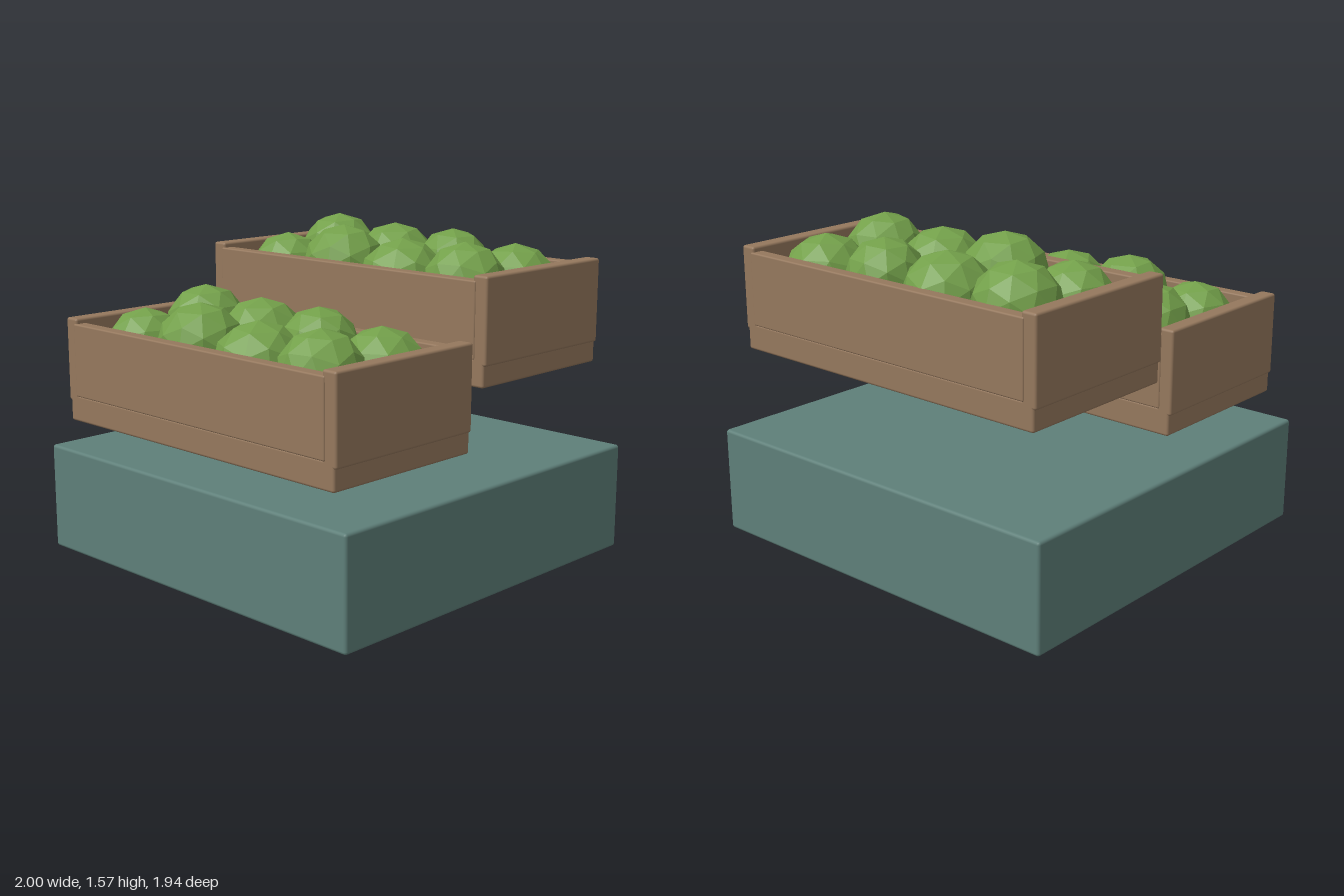
import * as THREE from 'three';
import { RoundedBoxGeometry } from 'three/addons/geometries/RoundedBoxGeometry.js';

const teal = new THREE.MeshStandardMaterial({ color: 0x5e7f79 });
teal.name = 'teal';
const wood = new THREE.MeshStandardMaterial({ color: 0x95785d });
wood.name = 'wood';
const green = new THREE.MeshStandardMaterial({ color: 0x73a04a });
green.name = 'leaf green';

// Softly bevelled block spanning two corners
function block(name, [x0, y0, z0], [x1, y1, z1], material, bevel = 0.012) {
  const mesh = new THREE.Mesh(new RoundedBoxGeometry(x1 - x0, y1 - y0, z1 - z0, 2, bevel), material);
  mesh.position.set((x0 + x1) / 2, (y0 + y1) / 2, (z0 + z1) / 2);
  mesh.name = name;
  return mesh;
}

// Cabbages: x, z, radius, top height (relative to the crate's underside and centre)
const cabbages = [
  [-0.595, -0.19, 0.203, 0.63], [-0.195, -0.19, 0.21, 0.61],
  [0.19, -0.19, 0.188, 0.61], [0.58, -0.19, 0.205, 0.57],
  [-0.595, 0.19, 0.19, 0.56], [-0.195, 0.19, 0.205, 0.63],
  [0.195, 0.19, 0.212, 0.595], [0.58, 0.19, 0.193, 0.61],
];

// Faceted ball; non-indexed, so its normals are flat per face
const ball = new THREE.IcosahedronGeometry(1, 1);
ball.computeVertexNormals();

function crate(name) {
  const group = new THREE.Group();
  group.name = name;
  group.add(block('crateFloor', [-0.89, 0, -0.43], [0.89, 0.13, 0.43], wood));
  for (const s of [-1, 1]) {
    // Long walls, a little lower than the end walls
    const wall = block('longWall', [-0.84, 0.125, -0.0325], [0.84, 0.48, 0.0325], wood, 0.008);
    wall.position.z = s * 0.403;
    // End walls
    const end = block('endWall', [-0.04, 0.1, -0.43], [0.04, 0.505, 0.43], wood);
    end.position.x = s * 0.862;
    group.add(wall, end);
  }
  cabbages.forEach(([x, z, r, top], i) => {
    const cabbage = new THREE.Mesh(ball, green);
    cabbage.name = 'cabbage';
    cabbage.scale.set(r, r * 0.94, r);
    cabbage.position.set(x, top - r * 0.94, z);
    cabbage.rotation.y = i * 0.7;
    group.add(cabbage);
  });
  return group;
}

export function createModel() {
  const model = new THREE.Group();
  model.name = 'produceStand';
  model.add(block('standBase', [-1, 0, -0.97], [1, 0.52, 0.97], teal, 0.015));

  // Two stepped crates
  const front = crate('frontCrate');
  front.position.set(0, 0.655, 0.495);
  const back = crate('backCrate');
  back.position.set(0, 0.935, -0.45);
  model.add(front, back);
  return model;
}
